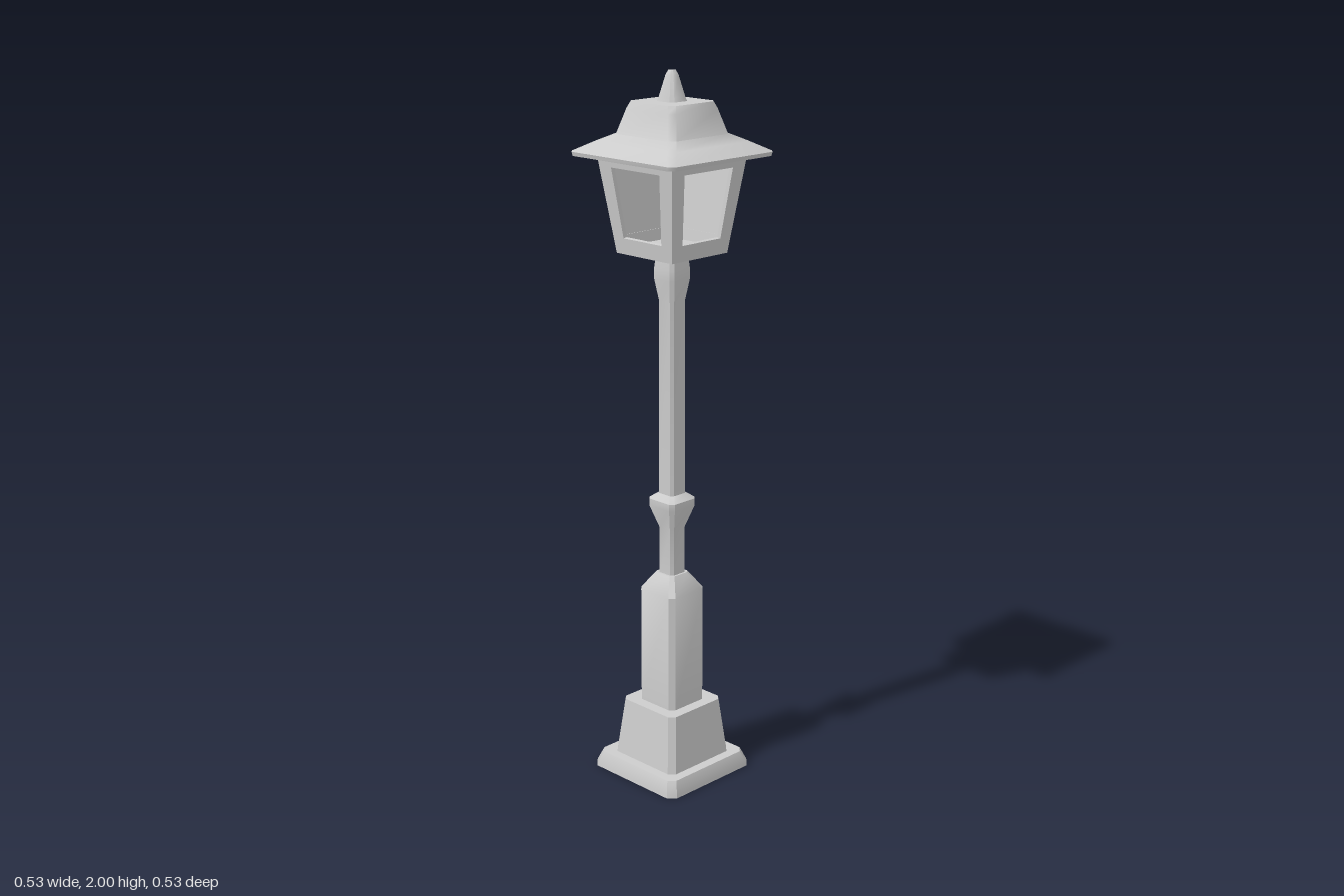
import * as THREE from 'three';
import { toCreasedNormals } from 'three/addons/utils/BufferGeometryUtils.js';

// Diamond section with chamfered corners: r = reach along the axes, c = half chamfer width
const section = (r, c) => [[r, -c], [r, c], [c, r], [-c, r], [-r, c], [-r, -c], [-c, -r], [c, -r]];

// Joins sections [reach, height, chamfer] from bottom to top, with optional end caps
function loft(rings, crease, capBottom, capTop) {
  const pos = [], idx = [], n = 8;
  for (const [r, y, c] of rings) for (const [x, z] of section(r, c)) pos.push(x, y, z);
  for (let k = 0; k < rings.length - 1; k++) {
    for (let i = 0; i < n; i++) {
      const a = k * n + i, b = k * n + (i + 1) % n;
      idx.push(a, a + n, b, b, a + n, b + n);
    }
  }
  const last = (rings.length - 1) * n;
  for (let i = 1; i < n - 1; i++) {
    if (capBottom) idx.push(0, i, i + 1);
    if (capTop) idx.push(last, last + i + 1, last + i);
  }
  const geo = new THREE.BufferGeometry();
  geo.setAttribute('position', new THREE.Float32BufferAttribute(pos, 3));
  geo.setIndex(idx);
  return toCreasedNormals(geo, crease);
}

// Trapezoid outline: half widths at heights y0 and y1
const trapezoid = (Type, w0, y0, w1, y1) => new Type([
  new THREE.Vector2(-w0, y0), new THREE.Vector2(w0, y0),
  new THREE.Vector2(w1, y1), new THREE.Vector2(-w1, y1),
]);

export function createModel() {
  const model = new THREE.Group();
  model.name = 'streetLamp';
  const grey = new THREE.MeshStandardMaterial({ color: 0xcccccc, side: THREE.DoubleSide });
  grey.name = 'light grey';

  const add = (parent, name, geo) => {
    const mesh = new THREE.Mesh(geo, grey);
    mesh.name = name;
    parent.add(mesh);
    return mesh;
  };

  // Hollow foot: low plate and tapered block
  add(model, 'foot', loft([
    [0.217, 0, 0.014], [0.217, 0.008, 0.014], [0.197, 0.045, 0.013],
    [0.158, 0.045, 0.012], [0.133, 0.21, 0.011], [0.087, 0.21, 0.01],
  ], 0.6));

  // Pedestal with sloped shoulder
  add(model, 'pedestal', loft([
    [0.087, 0.21, 0.01], [0.087, 0.55, 0.01], [0.042, 0.6, 0.007], [0.034, 0.6, 0.006],
  ], 0.6));

  // Pole with collar and flared head
  add(model, 'pole', loft([
    [0.035, 0.59, 0.006], [0.035, 0.735, 0.006],
    [0.063, 0.8, 0.008], [0.063, 0.82, 0.008], [0.036, 0.836, 0.006],
    [0.035, 1.385, 0.006], [0.048, 1.445, 0.007], [0.048, 1.475, 0.007], [0.041, 1.52, 0.007],
  ], 0.6));

  // Lantern floor
  add(model, 'lanternFloor', loft([[0.146, 1.516, 0.002], [0.147, 1.53, 0.002]], 0.5, true, true));

  // Four leaning window frames; the two rear ones hold a pane
  const lean = Math.atan2(0.0367, 0.27);
  for (let i = 0; i < 4; i++) {
    const side = new THREE.Group();
    side.name = 'lanternSide';
    side.rotation.y = Math.PI / 4 + i * Math.PI / 2;
    const panel = new THREE.Group();
    panel.name = 'windowPanel';
    panel.position.set(0, 1.515, 0.1047);
    panel.rotation.x = lean;
    side.add(panel);

    const shape = trapezoid(THREE.Shape, 0.1047, 0, 0.1414, 0.2725);
    shape.holes.push(trapezoid(THREE.Path, 0.0715, 0.045, 0.0905, 0.237));
    const frame = new THREE.ExtrudeGeometry(shape, { depth: 0.012, bevelEnabled: false });
    frame.translate(0, 0, -0.012);
    add(panel, 'windowFrame', frame);

    if (i === 1 || i === 2) {
      const pane = trapezoid(THREE.Shape, 0.0715, 0.045, 0.0905, 0.237);
      add(panel, 'windowPane', new THREE.ShapeGeometry(pane)).position.z = -0.008;
    }
    model.add(side);
  }

  // Roof with wide eaves
  add(model, 'roof', loft([
    [0.262, 1.777, 0.012], [0.265, 1.788, 0.012], [0.2, 1.815, 0.012], [0.147, 1.835, 0.012],
    [0.12, 1.9, 0.011], [0.108, 1.92, 0.01],
  ], 0.9, true, true));

  // Finial
  add(model, 'finial', loft([
    [0.04, 1.918, 0.006], [0.035, 1.93, 0.006], [0.017, 1.988, 0.004], [0.01, 2, 0.003],
  ], 0.9, false, true));

  return model;
}
